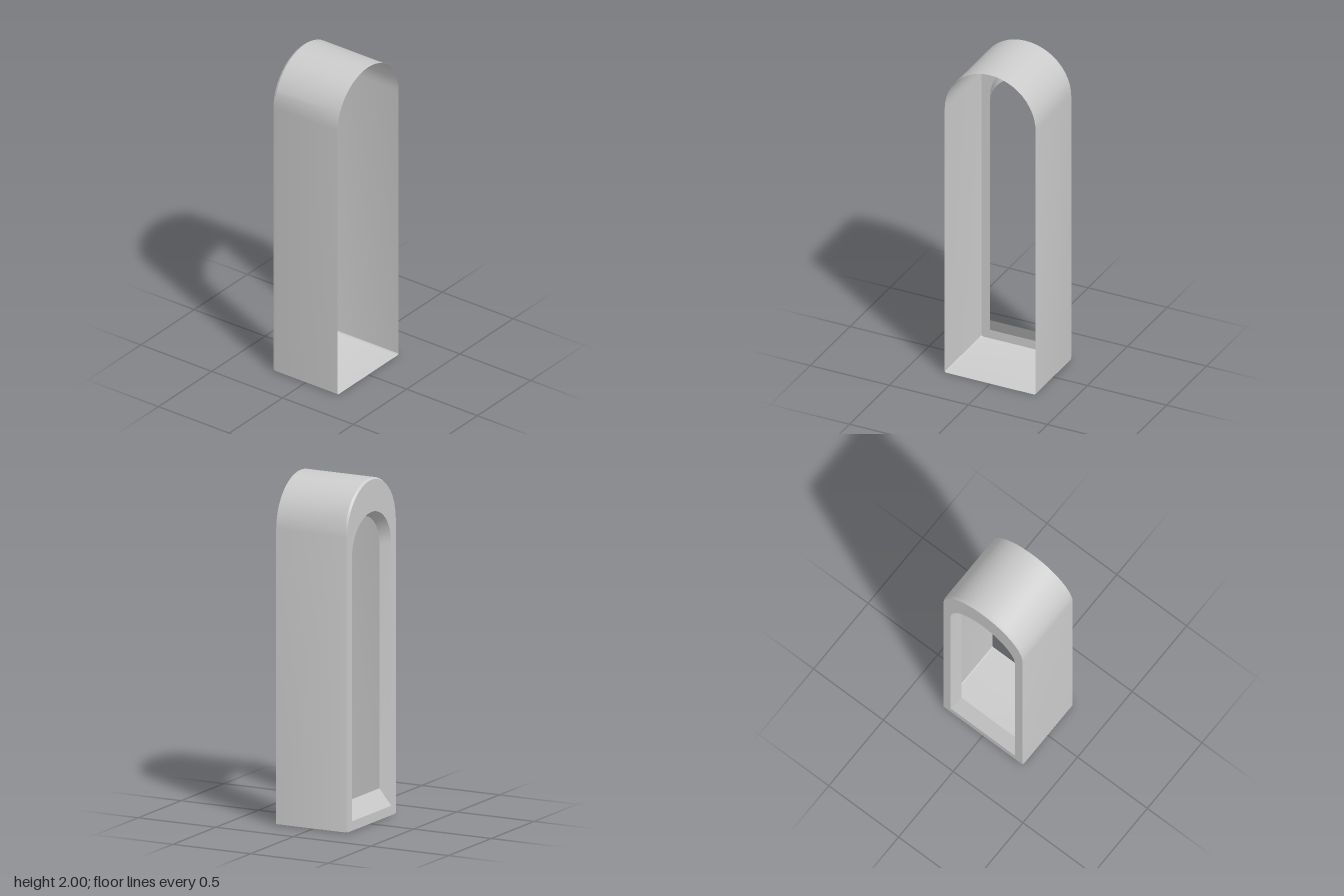
import * as THREE from 'three';
import { toCreasedNormals } from 'three/addons/utils/BufferGeometryUtils.js';

const ARC_STEPS = 24;
const material = new THREE.MeshStandardMaterial({ color: 0xcccccc, side: THREE.DoubleSide });

// Round-topped outline in the (z, y) plane with chamfered bottom corners
function archOutline(halfWidth, bottom, top, chamfer) {
  const spring = top - halfWidth;
  const points = [
    new THREE.Vector2(-halfWidth, bottom + chamfer),
    new THREE.Vector2(-halfWidth + chamfer, bottom),
    new THREE.Vector2(halfWidth - chamfer, bottom),
    new THREE.Vector2(halfWidth, bottom + chamfer),
  ];
  for (let i = 0; i <= ARC_STEPS; i++) {
    const a = (i / ARC_STEPS) * Math.PI;
    points.push(new THREE.Vector2(Math.cos(a) * halfWidth, spring + Math.sin(a) * halfWidth));
  }
  return points;
}

// Skin between successive outlines, each placed at its own x
function loft(sections) {
  const positions = [];
  const put = (s, i) => {
    const p = s.outline[i % s.outline.length];
    positions.push(s.x, p.y, p.x);
  };
  for (let k = 0; k < sections.length - 1; k++) {
    const a = sections[k], b = sections[k + 1];
    for (let i = 0; i < a.outline.length; i++) {
      put(a, i); put(b, i + 1); put(a, i + 1);
      put(a, i); put(b, i); put(b, i + 1);
    }
  }
  const geometry = new THREE.BufferGeometry();
  geometry.setAttribute('position', new THREE.Float32BufferAttribute(positions, 3));
  return toCreasedNormals(geometry, 0.4);
}

export function createModel() {
  const group = new THREE.Group();
  group.name = 'archedWindowCasing';
  const add = (name, geometry) => {
    const mesh = new THREE.Mesh(geometry, material);
    mesh.name = name;
    group.add(mesh);
  };

  const backX = -0.228, openX = 0.228;
  const body = archOutline(0.287, 0, 2, 0.006);
  const faceEdge = archOutline(0.283, 0.005, 1.991, 0.006);
  const holeOuter = archOutline(0.23, 0.06, 1.805, 0.0005);
  const holeInner = archOutline(0.2, 0.16, 1.77, 0.0005);

  // Thin arched tunnel, open at +x, with a narrow bevel towards the face
  add('outerShell', loft([
    { x: backX, outline: faceEdge },
    { x: -0.215, outline: body },
    { x: openX, outline: body },
  ]));

  // Flat face around the opening
  const shape = new THREE.Shape(faceEdge);
  shape.holes.push(new THREE.Path(holeOuter));
  const face = new THREE.ShapeGeometry(shape);
  face.rotateY(-Math.PI / 2);
  face.translate(backX, 0, 0);
  add('faceFrame', face);

  // Splayed reveal and sloping sill, narrowing inwards
  add('splayedReveal', loft([
    { x: backX + 0.06, outline: holeInner },
    { x: backX, outline: holeOuter },
  ]));

  return group;
}
